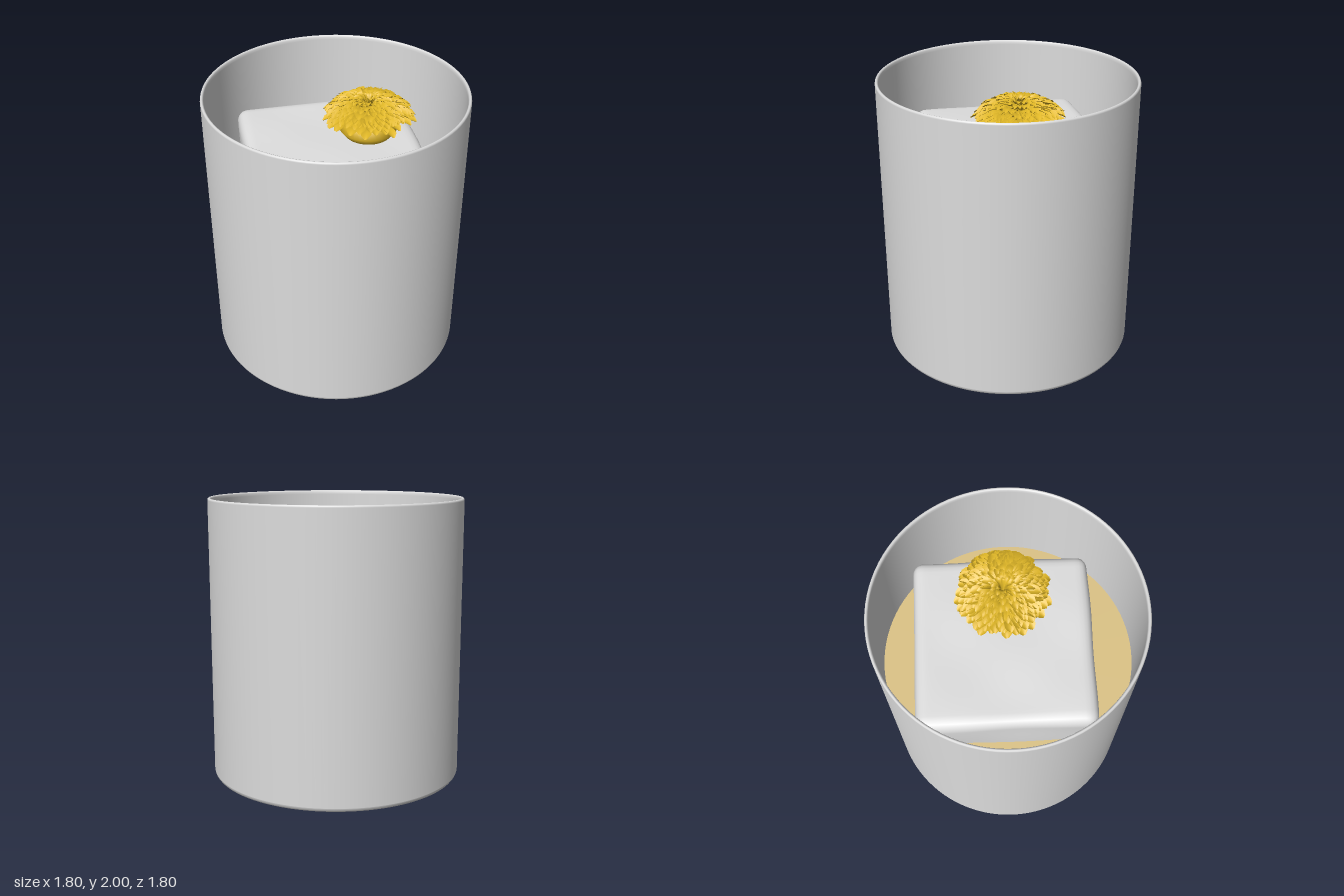
import * as THREE from 'three';
import { mergeGeometries, mergeVertices } from 'three/addons/utils/BufferGeometryUtils.js';

const mat = (name, color, side = THREE.FrontSide) => {
  const m = new THREE.MeshStandardMaterial({ color, side });
  m.name = name;
  return m;
};

const add = (parent, name, geometry, material) => {
  const mesh = new THREE.Mesh(geometry, material);
  mesh.name = name;
  parent.add(mesh);
  return mesh;
};

const lathe = (points, segments = 96) =>
  new THREE.LatheGeometry(points.map(([x, y]) => new THREE.Vector2(x, y)), segments);

// Rounded block with gently uneven faces
function iceGeometry(w, h, d, radius) {
  const n = 40;
  let geo = new THREE.BoxGeometry(w, h, d, n, n, n);
  geo.deleteAttribute('uv');
  geo.deleteAttribute('normal');
  geo = mergeVertices(geo);
  const inner = new THREE.Vector3(w / 2 - radius, h / 2 - radius, d / 2 - radius);
  const negInner = inner.clone().negate();
  const p = geo.attributes.position;
  const v = new THREE.Vector3(), core = new THREE.Vector3();
  for (let i = 0; i < p.count; i++) {
    v.fromBufferAttribute(p, i);
    core.copy(v).clamp(negInner, inner);
    v.sub(core).normalize();
    const wave = Math.sin(core.x * 9 + core.y * 5) * Math.sin(core.z * 8 + 1) +
      0.6 * Math.sin(core.y * 11 + core.z * 4 + core.x * 3);
    v.multiplyScalar(radius + 0.004 * wave).add(core);
    p.setXYZ(i, v.x, v.y, v.z);
  }
  geo.computeVertexNormals();
  return geo;
}

// Spoon-shaped petal bent along a curve from the flower heart to its tip
function petalGeometry(base, mid, tip, width, angle, roll) {
  const curve = new THREE.QuadraticBezierCurve(base, mid, tip);
  const rows = 7, cols = 4;
  const geo = new THREE.PlaneGeometry(1, 1, cols, rows);
  geo.deleteAttribute('uv');
  const p = geo.attributes.position;
  for (let i = 0; i < p.count; i++) {
    const s = p.getX(i) * 2;
    const t = 0.5 - p.getY(i);
    const c = curve.getPoint(t), tan = curve.getTangent(t);
    const outline = t < 0.75 ? 0.4 + 0.6 * Math.sin((t / 0.75) * Math.PI / 2)
      : Math.sqrt(Math.max(0.06, 1 - ((t - 0.75) / 0.26) ** 2));
    const cup = width * 0.22 * s * s * outline;
    p.setXYZ(i, c.x - tan.y * cup, c.y + tan.x * cup + roll * s * width * 0.5,
      s * width * 0.5 * outline);
  }
  geo.rotateY(angle);
  geo.computeVertexNormals();
  return geo;
}

export function createModel() {
  const group = new THREE.Group();
  const glassMat = mat('glass grey', 0xdcdcdc);
  const iceMat = mat('ice white', 0xdedede);
  const drinkMat = mat('amber drink', 0xdcc385);
  const petalMat = mat('petal yellow', 0xe0b726, THREE.DoubleSide);

  // Straight tumbler with a thin rounded rim and a solid base
  add(group, 'tumbler', lathe([
    [0, 0], [0.87, 0], [0.872, 0], [0.888, 0.006], [0.897, 0.018], [0.9, 0.03], [0.9, 0.032],
    [0.9, 1.985], [0.897, 1.995], [0.89, 2], [0.882, 1.997], [0.877, 1.988], [0.876, 1.97],
    [0.876, 0.14], [0.87, 0.11], [0.85, 0.1], [0.848, 0.1], [0, 0.1],
  ]), glassMat);

  // Drink filling the tumbler
  const drink = add(group, 'drink', new THREE.CylinderGeometry(0.874, 0.86, 1.09, 96), drinkMat);
  drink.position.y = 0.655;

  // Large ice block standing proud of the drink
  const ice = add(group, 'iceBlock', iceGeometry(1.2, 1.2, 1.2, 0.075), iceMat);
  ice.position.set(-0.015, 1.01, -0.03);
  ice.rotation.set(0, 0.118, 0.025);

  // Flower resting on the ice
  const flower = new THREE.Group();
  flower.name = 'flower';
  flower.position.set(0.225, 1.6, -0.05);
  group.add(flower);
  add(flower, 'flowerBase', lathe([
    [0, 0], [0.08, 0.005], [0.16, 0.04], [0.2, 0.09], [0.18, 0.15], [0.1, 0.21], [0, 0.235],
  ], 32), petalMat);

  let seed = 7;
  const rand = () => (seed = (seed * 16807) % 2147483647) / 2147483647;
  const petals = [];
  const count = 250;
  for (let i = 0; i < count; i++) {
    const t = Math.sqrt((i + 1) / count);
    const jitter = rand() - 0.5;
    const r = 0.025 + 0.295 * t + 0.03 * jitter * t;
    const y = 0.13 + 0.19 * Math.sqrt(Math.max(0, 1 - (r / 0.345) ** 2)) + 0.025 * (rand() - 0.5);
    const rootR = Math.max(0.008, r - 0.06 - 0.13 * t);
    const rootY = y - 0.1 + 0.06 * t;
    petals.push(petalGeometry(
      new THREE.Vector2(rootR, rootY),
      new THREE.Vector2(rootR + (r - rootR) * (0.35 + 0.25 * t), y + 0.025),
      new THREE.Vector2(r, y - 0.02 * t),
      0.026 + 0.046 * t + 0.008 * jitter, i * 2.39996, 0.35 * (rand() - 0.5)));
  }
  add(flower, 'petals', mergeGeometries(petals), petalMat);

  return group;
}
